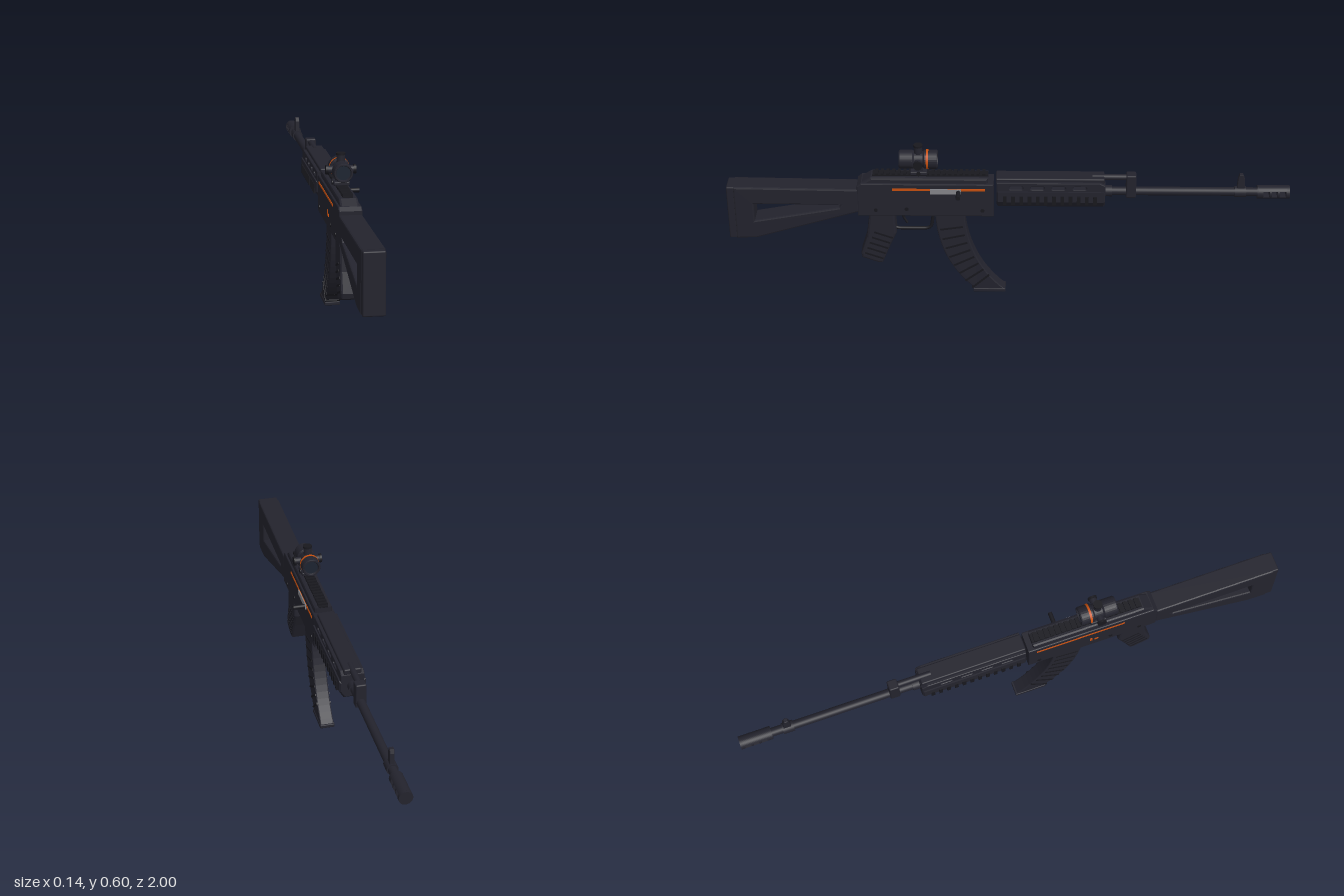
import * as THREE from 'three';
import { RoundedBoxGeometry } from 'three/addons/geometries/RoundedBoxGeometry.js';

const paint = (name, color) => {
  const m = new THREE.MeshStandardMaterial({ color });
  m.name = name;
  return m;
};

export function createModel() {
  const body = paint('charcoal', 0x23232d);
  const dark = paint('near black', 0x18181e);
  const orange = paint('orange', 0xc8500f);
  const steel = paint('steel', 0x85858a);
  const glass = paint('dark glass', 0x1c2430);

  const root = new THREE.Group();
  root.name = 'rifle';
  const model = new THREE.Group();
  model.name = 'rifleParts';
  model.position.x = -0.02;
  root.add(model);

  const add = (name, geometry, material, x = 0, y = 0, z = 0) => {
    const mesh = new THREE.Mesh(geometry, material);
    mesh.name = name;
    mesh.position.set(x, y, z);
    model.add(mesh);
    return mesh;
  };
  const box = (name, mat, w, h, d, x, y, z) => add(name, new THREE.BoxGeometry(w, h, d), mat, x, y, z);
  const rbox = (name, mat, w, h, d, x, y, z, r = 0.005) =>
    add(name, new RoundedBoxGeometry(w, h, d, 2, r), mat, x, y, z);
  const tubeZ = (name, mat, r, z0, z1, y, x = 0) =>
    add(name, new THREE.CylinderGeometry(r, r, Math.abs(z1 - z0), 24).rotateX(Math.PI / 2), mat, x, y, (z0 + z1) / 2);
  const tubeX = (name, mat, r, x0, x1, y, z) =>
    add(name, new THREE.CylinderGeometry(r, r, Math.abs(x1 - x0), 20).rotateZ(Math.PI / 2), mat, (x0 + x1) / 2, y, z);
  const toShape = pts => new THREE.Shape(pts.map(p => new THREE.Vector2(...p)));

  // Side outline in (z, y), given a width across x
  const side = (name, mat, shape, width, bevel = 0.005) => {
    const g = new THREE.ExtrudeGeometry(shape, {
      depth: width - 2 * bevel, bevelEnabled: bevel > 0, bevelSize: bevel,
      bevelOffset: -bevel, bevelThickness: bevel, bevelSegments: 2, curveSegments: 14
    });
    g.translate(0, 0, bevel - width / 2).rotateY(-Math.PI / 2);
    return add(name, g, mat);
  };

  // Stock with its triangular opening
  const stock = toShape([[0.53, 0.345], [0.9, 0.235], [0.975, 0.232], [0.975, 0.443], [0.53, 0.437]]);
  stock.holes.push(new THREE.Path([[0.6, 0.362], [0.59, 0.374], [0.905, 0.374], [0.905, 0.306]]
    .map(p => new THREE.Vector2(...p))));
  side('stock', body, stock, 0.08, 0.006);
  rbox('buttPlate', body, 0.074, 0.21, 0.03, 0, 0.337, 0.985);

  // Receiver and top cover
  side('receiver', body, toShape([[0.05, 0.33], [0.535, 0.33], [0.535, 0.45], [0.52, 0.462], [0.05, 0.462]]), 0.08, 0.004);
  side('topCover', body, toShape([[0.07, 0.44], [0.53, 0.44], [0.525, 0.457], [0.485, 0.482], [0.07, 0.482]]), 0.066, 0.008);
  box('railBase', dark, 0.034, 0.006, 0.41, 0, 0.483, 0.275);
  for (let i = 0; i < 20; i++) box('railTooth', dark, 0.036, 0.009, 0.011, 0, 0.488, 0.085 + i * 0.02);
  for (const s of [-1, 1]) {
    box('sideStripe', orange, 0.003, 0.008, 0.33, s * 0.0405, 0.44, 0.245);
    for (const [y, z] of [[0.355, 0.09], [0.355, 0.47], [0.36, 0.36]])
      tubeX('receiverPin', dark, 0.007, s * 0.038, s * 0.0425, y, z);
  }
  box('selectorMark', orange, 0.003, 0.02, 0.009, -0.0405, 0.385, 0.285);
  box('selectorMark', orange, 0.003, 0.009, 0.014, -0.0405, 0.38, 0.305);

  // Bolt and charging handle on the left of the model
  box('bolt', steel, 0.006, 0.02, 0.11, 0.042, 0.434, 0.22);
  tubeX('chargingHandle', dark, 0.008, 0.04, 0.087, 0.432, 0.175);

  // Handguard: faceted lower shell, vented middle, cap
  const shell = toShape([[-0.031, 0.37], [0.031, 0.37], [0.047, 0.395], [0.047, 0.436], [-0.047, 0.436], [-0.047, 0.395]]);
  const shellGeo = new THREE.ExtrudeGeometry(shell, {
    depth: 0.373, bevelEnabled: true, bevelSize: 0.006, bevelOffset: -0.006, bevelThickness: 0.006, bevelSegments: 1
  });
  add('handguard', shellGeo, body, 0, 0, -0.339);
  const vent = toShape([[-0.345, 0.43], [0.04, 0.43], [0.04, 0.47], [-0.325, 0.47], [-0.345, 0.46]]);
  for (let i = 0; i < 4; i++) {
    const z = -0.03 - i * 0.075, h = new THREE.Path();
    h.moveTo(z - 0.018, 0.443);
    h.lineTo(z + 0.018, 0.443);
    h.absarc(z + 0.018, 0.449, 0.006, -Math.PI / 2, Math.PI / 2, false);
    h.lineTo(z - 0.018, 0.455);
    h.absarc(z - 0.018, 0.449, 0.006, Math.PI / 2, Math.PI * 1.5, false);
    vent.holes.push(h);
  }
  side('ventedGuard', body, vent, 0.084, 0.003);
  rbox('guardCap', body, 0.062, 0.022, 0.385, 0, 0.47, -0.15);
  for (const s of [-1, 1])
    for (let i = 0; i < 12; i++)
      box('guardRib', dark, 0.006, 0.034, 0.013, s * 0.048, 0.403, 0.01 - i * 0.029);

  // Gas tube, barrel, gas block
  tubeZ('gasTube', body, 0.011, -0.3, -0.43, 0.474);
  tubeZ('barrel', body, 0.0155, 0.04, -0.9, 0.418);
  rbox('gasBlock', body, 0.038, 0.09, 0.036, 0, 0.443, -0.437);
  tubeZ('barrelCollar', body, 0.02, -0.345, -0.37, 0.418);

  // Front sight
  tubeZ('sightCollar', body, 0.02, -0.805, -0.845, 0.418);
  side('frontSight', body, toShape([[-0.812, 0.42], [-0.842, 0.42], [-0.838, 0.475], [-0.832, 0.49], [-0.82, 0.49], [-0.815, 0.475]]), 0.016, 0.002);

  // Muzzle brake: rings joined by upper and lower bars leave side ports
  tubeZ('muzzleRear', body, 0.024, -0.885, -0.906, 0.418);
  tubeZ('muzzleFront', body, 0.024, -0.987, -1, 0.418);
  for (const z of [-0.932, -0.96]) tubeZ('muzzleRing', body, 0.024, z + 0.004, z - 0.004, 0.418);
  for (const top of [0, 1]) {
    const arc = new THREE.Shape();
    const a = 0.5 + top * Math.PI, b = Math.PI - 0.5 + top * Math.PI;
    arc.absarc(0, 0, 0.024, a, b, false);
    arc.closePath();
    add('muzzleBar', new THREE.ExtrudeGeometry(arc, { depth: 0.1, bevelEnabled: false }), body, 0, 0.418, -0.99);
  }

  // Curved magazine with ribs and base plate
  const mag = new THREE.Shape();
  mag.moveTo(0.26, 0.335);
  mag.quadraticCurveTo(0.2525, 0.1275, 0.115, 0.01);
  mag.lineTo(0.01, 0.01);
  mag.quadraticCurveTo(0.145, 0.13, 0.155, 0.335);
  side('magazine', body, mag, 0.05, 0.004);
  const spine = new THREE.QuadraticBezierCurve(
    new THREE.Vector2(0.208, 0.335), new THREE.Vector2(0.2, 0.13), new THREE.Vector2(0.063, 0.01));
  for (let i = 0; i < 8; i++) {
    const t = 0.16 + i * 0.1, p = spine.getPoint(t), d = spine.getTangent(t);
    const rib = box('magazineRib', dark, 0.054, 0.007, 0.082, 0, p.y, p.x);
    rib.rotation.x = Math.atan2(-d.x, -d.y);
  }
  rbox('magazineBase', body, 0.055, 0.014, 0.118, 0, 0.007, 0.067, 0.003);

  // Pistol grip with front ridges
  side('grip', body, toShape([[0.495, 0.335], [0.405, 0.335], [0.4, 0.25], [0.425, 0.195], [0.452, 0.127],
    [0.468, 0.125], [0.527, 0.147], [0.53, 0.165], [0.508, 0.235]]), 0.064, 0.008);
  for (let i = 0; i < 5; i++) {
    const rib = box('gripRib', dark, 0.066, 0.007, 0.07, 0, 0.245 - i * 0.022, 0.447 + i * 0.009);
    rib.rotation.x = -0.35;
  }

  // Trigger and guard
  const bar = (name, mat, pts, r) => add(name, new THREE.TubeGeometry(
    new THREE.CatmullRomCurve3(pts.map(([z, y]) => new THREE.Vector3(0, y, z)), false, 'catmullrom', 0.2), 24, r, 8), mat);
  bar('triggerGuard', dark, [[0.41, 0.262], [0.39, 0.257], [0.295, 0.257], [0.275, 0.268], [0.265, 0.335]], 0.006);
  bar('trigger', dark, [[0.372, 0.335], [0.375, 0.305], [0.362, 0.28]], 0.005);

  // Sight mount and clamp
  rbox('sightMount', body, 0.055, 0.014, 0.06, 0, 0.497, 0.315, 0.004);
  box('sightPost', body, 0.036, 0.04, 0.03, 0, 0.51, 0.315);
  for (const s of [-1, 1]) tubeX('clampScrew', dark, 0.008, s * 0.022, s * 0.03, 0.497, 0.315);

  // Optical sight: one turned profile with hollow ends
  const profile = [[0.024, -0.062], [0.027, -0.068], [0.032, -0.068], [0.034, -0.064], [0.034, -0.022],
    [0.028, -0.016], [0.028, 0.014], [0.033, 0.02], [0.033, 0.064], [0.031, 0.068], [0.027, 0.068], [0.024, 0.06]]
    .map(p => new THREE.Vector2(...p));
  const tube = new THREE.LatheGeometry(profile, 28).toNonIndexed().rotateX(Math.PI / 2);
  tube.computeVertexNormals();
  add('sightTube', tube, body, 0, 0.542, 0.316);
  tubeZ('lens', glass, 0.0255, 0.254, 0.377, 0.542);
  tubeZ('sightRing', orange, 0.0352, 0.28, 0.288, 0.542);
  for (const s of [-1, 1]) {
    tubeX('sideTurret', body, 0.013, s * 0.02, s * 0.048, 0.542, 0.316);
    tubeX('turretCap', dark, 0.0165, s * 0.044, s * 0.052, 0.542, 0.316);
  }
  add('topTurret', new THREE.CylinderGeometry(0.0145, 0.0145, 0.04, 20), body, 0, 0.575, 0.316);
  add('turretCap', new THREE.CylinderGeometry(0.0165, 0.0165, 0.007, 20), dark, 0, 0.5965, 0.316);

  return root;
}
